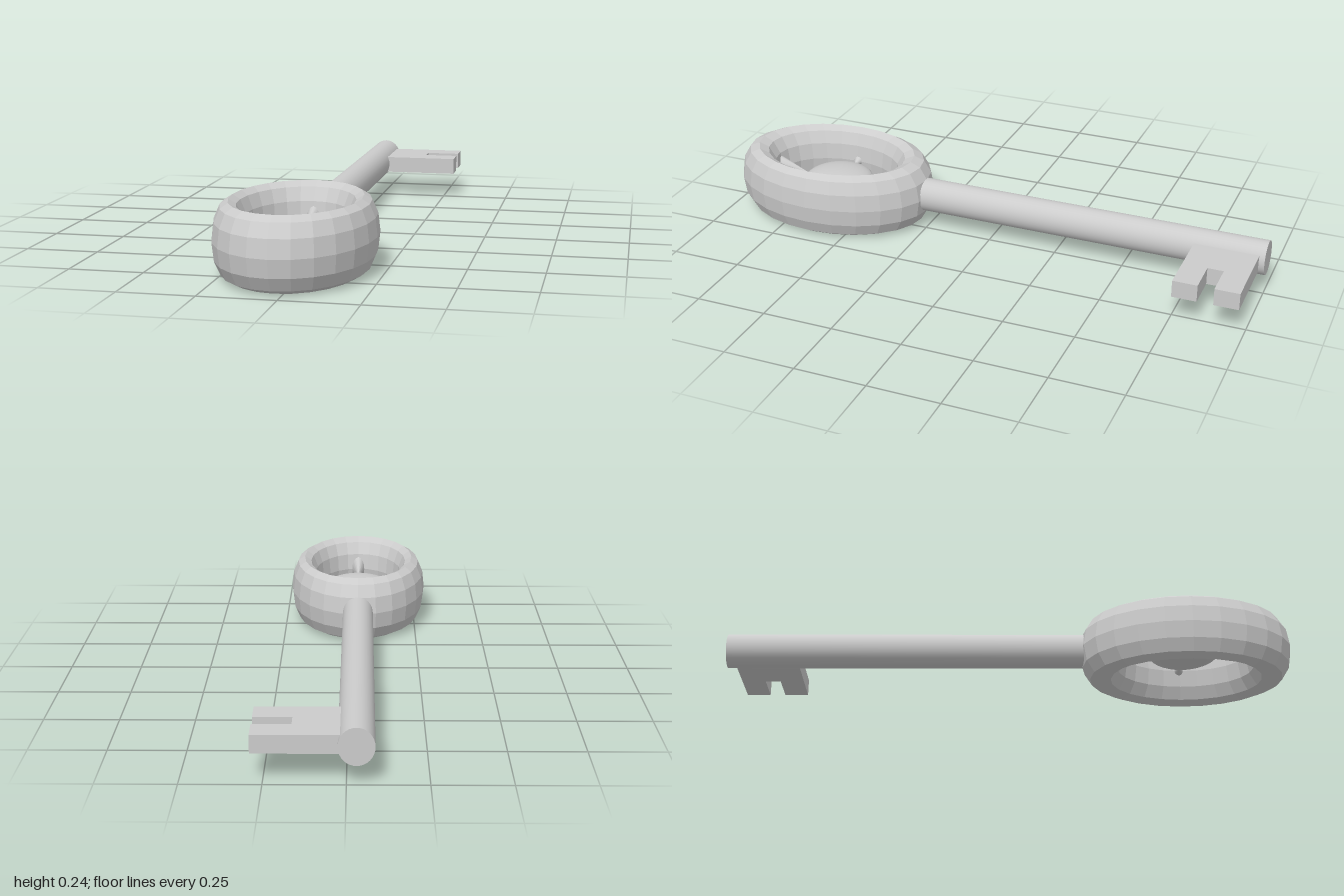
import * as THREE from 'three';

const CX = -0.03, CY = 0.12, CZ = 0.622; // centre of the bow

export function createModel() {
  const key = new THREE.Group();
  key.name = 'key';
  const smooth = new THREE.MeshStandardMaterial({ color: 0xcccccc });
  const faceted = new THREE.MeshStandardMaterial({ color: 0xcccccc, flatShading: true });

  function add(name, geometry, material, x, y, z) {
    const mesh = new THREE.Mesh(geometry, material);
    mesh.name = name;
    mesh.position.set(x, y, z);
    key.add(mesh);
    return mesh;
  }

  // Oval bow: a stretched torus lying flat
  const ring = new THREE.TorusGeometry(1, 0.24, 12, 24).rotateX(Math.PI / 2);
  add('bowRing', ring.scale(0.21, 0.5, 0.303), faceted, CX, CY, CZ);

  // Flattened gem in the middle of the bow
  const gem = new THREE.SphereGeometry(1, 32, 16).scale(0.127, 0.037, 0.127);
  add('bowGem', gem, smooth, CX, CY, 0.617);

  // Spikes pointing from the ring to the gem
  for (const s of [-1, 1]) {
    const long = new THREE.ConeGeometry(1, 0.125, 16).rotateX(-s * Math.PI / 2).scale(0.03, 0.052, 1);
    add(s < 0 ? 'backSpike' : 'frontSpike', long, smooth, CX, CY, 0.617 + s * 0.1905);
    const short = new THREE.ConeGeometry(0.022, 0.045, 16).rotateZ(s * Math.PI / 2);
    add(s < 0 ? 'rightSpike' : 'leftSpike', short, smooth, CX + s * 0.149, CY, 0.617);
  }

  // Shaft, its front end buried in the ring
  const shaft = new THREE.CylinderGeometry(1, 1, 1.29, 32).rotateX(Math.PI / 2).scale(0.056, 0.061, 1);
  add('shaft', shaft, smooth, CX, CY + 0.002, -0.355);

  // Notched bit, outlined in x and z and extruded upwards
  const outline = [
    [-0.03, -0.98], [0.288, -0.98], [0.288, -0.895], [0.165, -0.895],
    [0.165, -0.84], [0.288, -0.84], [0.288, -0.755], [-0.03, -0.755],
  ].map(([x, z]) => new THREE.Vector2(x, -z));
  const bit = new THREE.ExtrudeGeometry(new THREE.Shape(outline), { depth: 0.06, bevelEnabled: false });
  add('bit', bit.rotateX(-Math.PI / 2), faceted, 0, 0.091, 0);

  return key;
}
